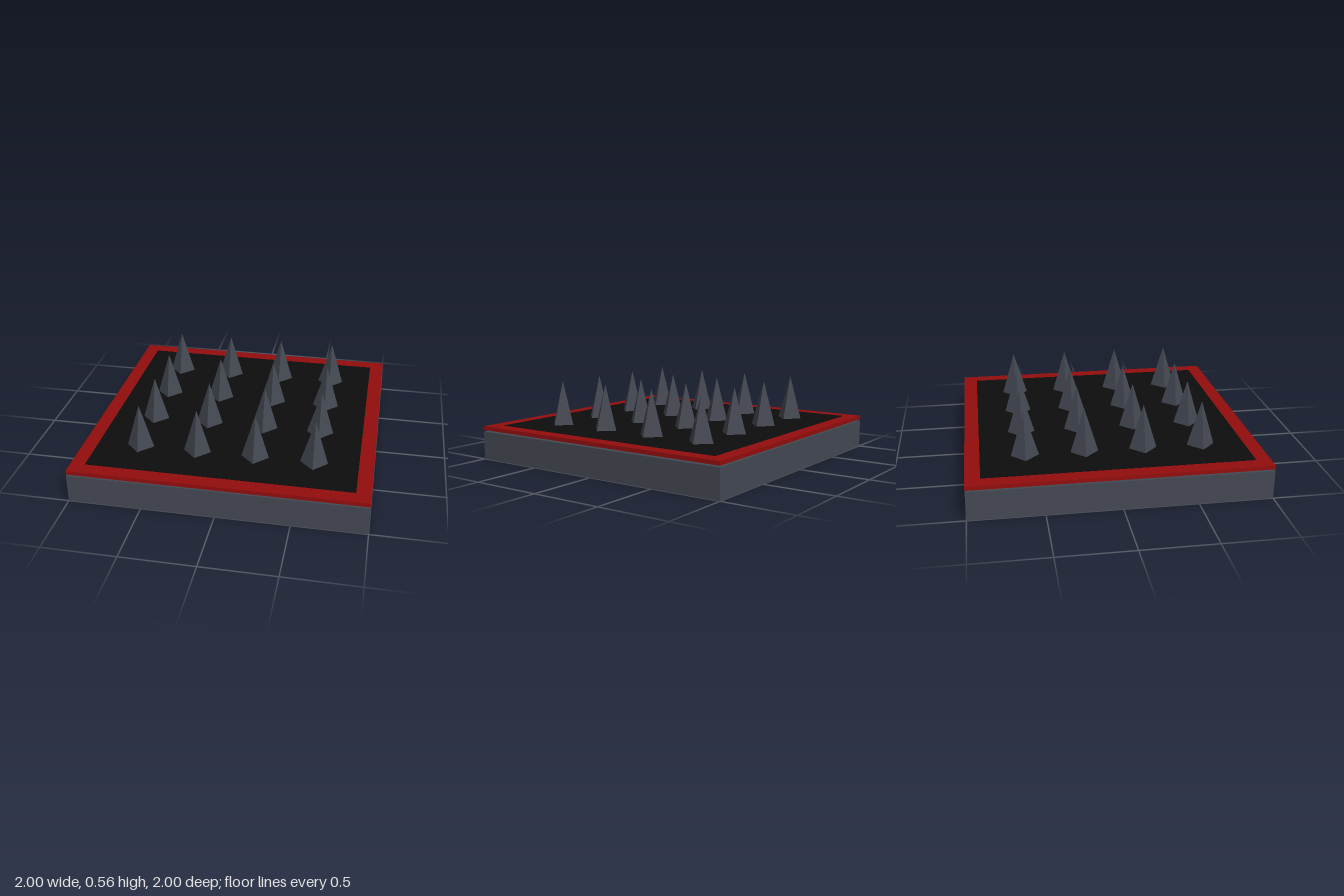
import * as THREE from 'three';

export function createModel() {
  const group = new THREE.Group();
  const steel = new THREE.MeshStandardMaterial({ color: 0x444852, flatShading: true });
  steel.name = 'dark steel';
  const red = new THREE.MeshStandardMaterial({ color: 0x940d0d });
  red.name = 'deep red';
  const black = new THREE.MeshStandardMaterial({ color: 0x0d0d0d });
  black.name = 'black';

  // Square slab whose underside sits at the given height
  const slab = (name, width, height, bottom, material) => {
    const mesh = new THREE.Mesh(new THREE.BoxGeometry(width, height, width), material);
    mesh.name = name;
    mesh.position.y = bottom + height / 2;
    group.add(mesh);
  };
  slab('base', 2, 0.2, 0, steel);
  slab('redPlate', 2, 0.027, 0.211, red); // floats just above the base
  slab('blackPanel', 1.8, 0.005, 0.235, black);

  // Four by four grid of four-sided spikes
  const bottom = 0.22, top = 0.555;
  const spikeGeometry = new THREE.ConeGeometry(0.1, top - bottom, 4);
  const spikes = new THREE.Group();
  spikes.name = 'spikes';
  const places = [-0.6, -0.2, 0.2, 0.6];
  for (const x of places) {
    for (const z of places) {
      const spike = new THREE.Mesh(spikeGeometry, steel);
      spike.name = 'spike';
      spike.position.set(x, (bottom + top) / 2, z);
      spikes.add(spike);
    }
  }
  group.add(spikes);
  return group;
}
